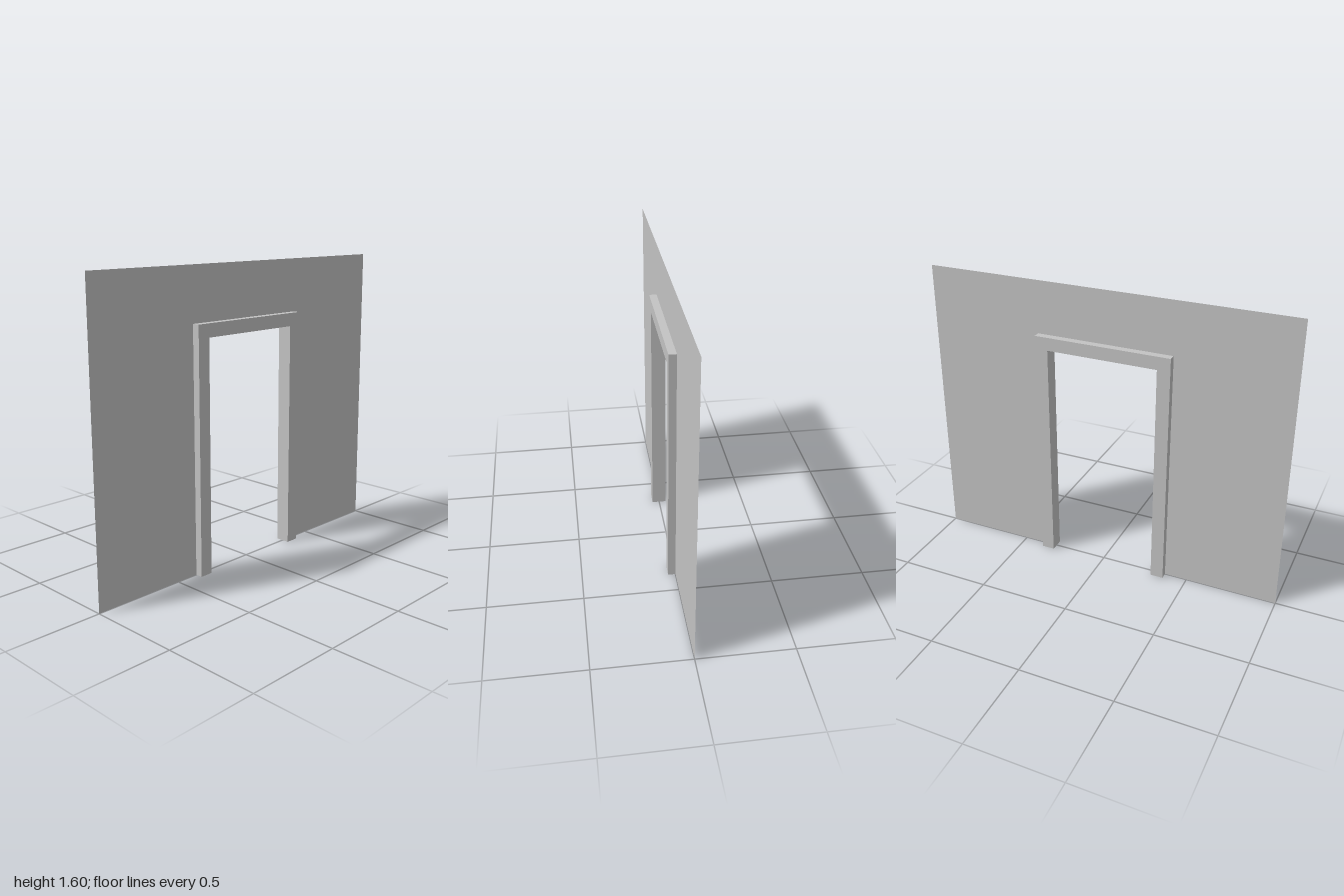
import * as THREE from 'three';

const OUTER = { x: 0.374, y: 1.313 };
const INNER = { x: 0.303, y: 1.242 };
const DEPTH = 0.08;

// Upside-down U between an outer rectangle and a doorway, both standing on the floor
function archShape(outer, inner) {
  return new THREE.Shape([
    [-outer.x, 0], [-inner.x, 0], [-inner.x, inner.y], [inner.x, inner.y],
    [inner.x, 0], [outer.x, 0], [outer.x, outer.y], [-outer.x, outer.y],
  ].map(([x, y]) => new THREE.Vector2(x, y)));
}

// Remove the faces lying on the floor, leaving the hollow legs open underneath
function openBottom(geometry) {
  const p = geometry.attributes.position;
  const kept = [];
  for (let i = 0; i < p.count; i += 3) {
    if (Math.max(p.getY(i), p.getY(i + 1), p.getY(i + 2)) < 1e-5) continue;
    for (let j = i; j < i + 3; j++) kept.push(p.getX(j), p.getY(j), p.getZ(j));
  }
  const result = new THREE.BufferGeometry();
  result.setAttribute('position', new THREE.Float32BufferAttribute(kept, 3));
  result.computeVertexNormals();
  return result;
}

export function createModel() {
  const group = new THREE.Group();
  group.name = 'doorwayWall';
  const grey = new THREE.MeshStandardMaterial({ color: 0xc3c3c3, side: THREE.DoubleSide });
  grey.name = 'lightGrey';

  // Paper-thin wall, cut out around the frame
  const wall = new THREE.Mesh(new THREE.ShapeGeometry(archShape({ x: 1, y: 1.6 }, OUTER)), grey);
  wall.name = 'wall';

  // Hollow door frame standing proud on both sides of the wall
  const frameGeometry = new THREE.ExtrudeGeometry(archShape(OUTER, INNER), {
    depth: DEPTH, bevelEnabled: false,
  });
  frameGeometry.translate(0, 0, -DEPTH / 2);
  const frame = new THREE.Mesh(openBottom(frameGeometry), grey);
  frame.name = 'doorFrame';

  group.add(wall, frame);
  return group;
}
